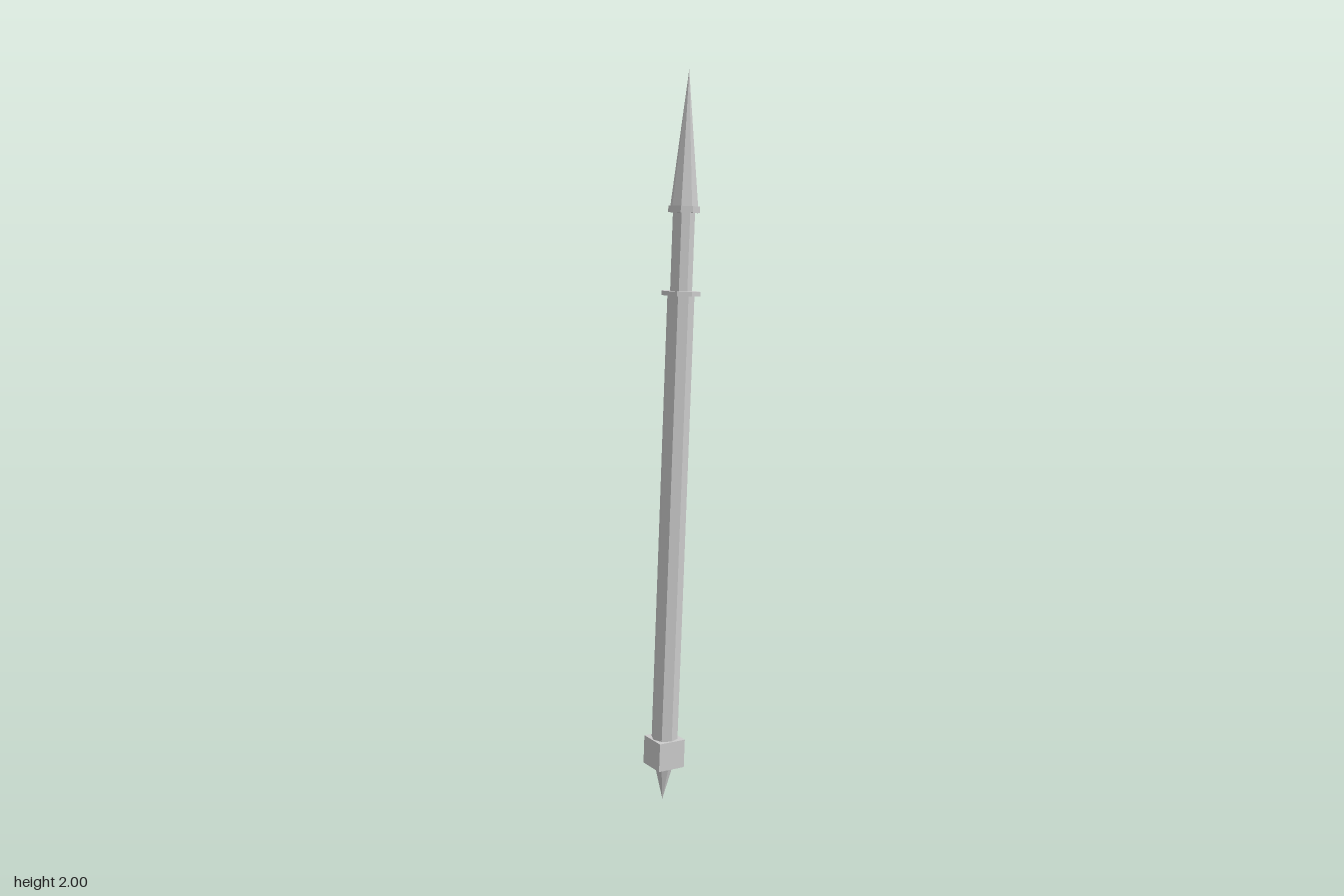
import * as THREE from 'three';

export function createModel() {
  const model = new THREE.Group();
  const material = new THREE.MeshStandardMaterial({ color: 0xcccccc, flatShading: true });

  // All parts are stacked on one axis, which leans as a whole
  const spear = new THREE.Group();
  spear.name = 'spear';
  spear.position.set(-0.028, 0, -0.0125);
  spear.rotation.order = 'YXZ';
  spear.rotation.y = -0.385;
  spear.rotation.z = -0.043;
  model.add(spear);

  function add(name, geometry, y) {
    const mesh = new THREE.Mesh(geometry, material);
    mesh.name = name;
    mesh.position.y = y;
    spear.add(mesh);
  }

  // Eight-sided section between two heights
  function section(name, bottom, top, bottomRadius, topRadius) {
    const geometry = new THREE.CylinderGeometry(topRadius, bottomRadius, top - bottom, 8);
    add(name, geometry, (bottom + top) / 2);
  }

  section('buttSpike', 0, 0.103, 0, 0.027);
  add('buttBlock', new THREE.BoxGeometry(0.082, 0.08, 0.082), 0.14);
  section('lowerShaft', 0.178, 1.418, 0.037, 0.037);
  section('lowerRing', 1.413, 1.425, 0.053, 0.053);
  section('upperShaft', 1.42, 1.64, 0.03, 0.03);
  section('upperRing', 1.632, 1.649, 0.043, 0.043);
  section('spearPoint', 1.645, 2.001, 0.038, 0);

  return model;
}
